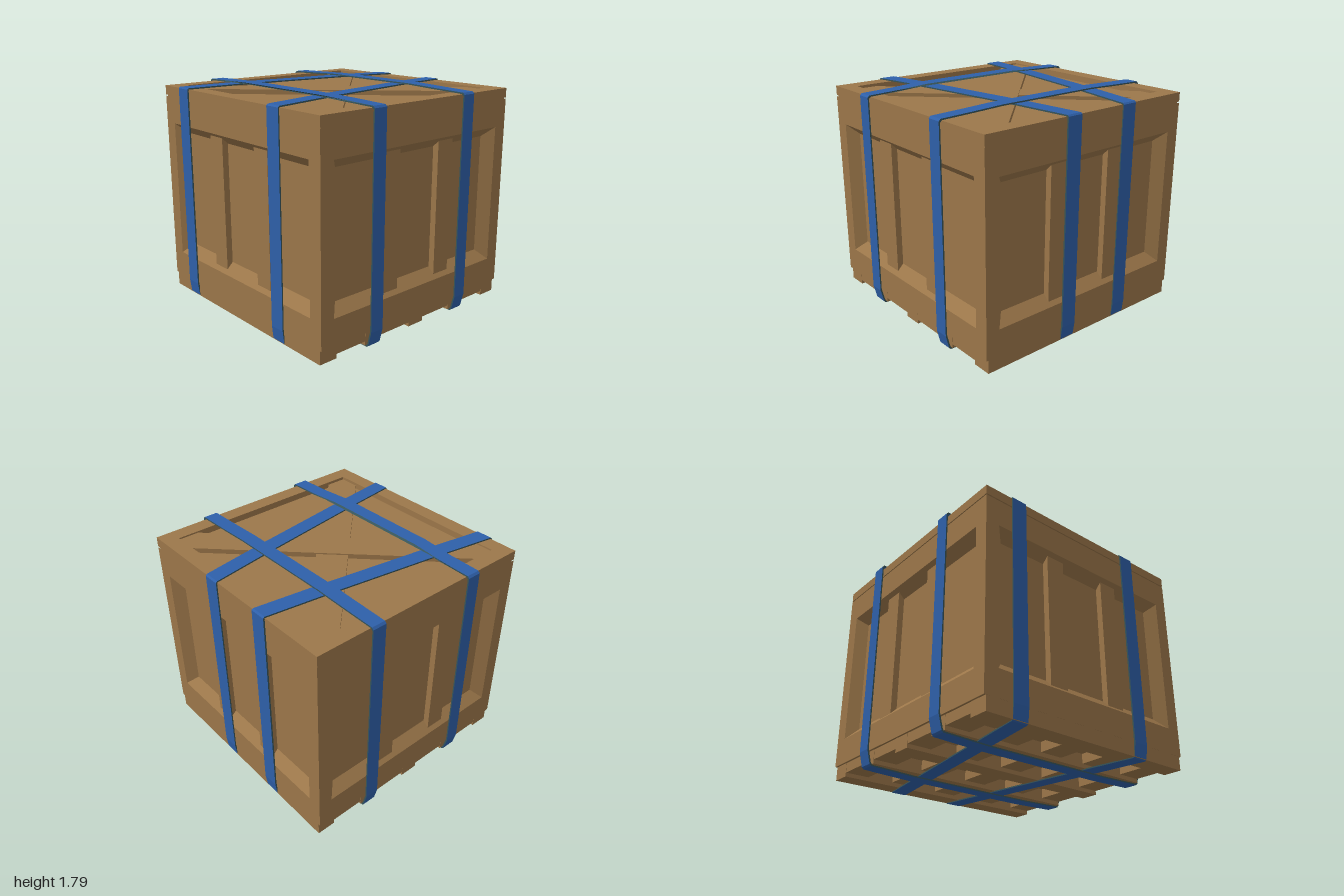
import * as THREE from 'three';

const wood = new THREE.MeshStandardMaterial({ name: 'wood', color: 0x9c774a });
const strapBlue = new THREE.MeshStandardMaterial({ name: 'strapBlue', color: 0x2e60aa });
const darkTeal = new THREE.MeshStandardMaterial({ name: 'darkTeal', color: 0x36545a });

const HALF = 0.97; // half width of the crate

function add(parent, name, geometry, material = wood) {
  const mesh = new THREE.Mesh(geometry, material);
  mesh.name = name;
  parent.add(mesh);
  return mesh;
}

// Box given by its minimum and maximum corners
function box(parent, name, [x0, y0, z0], [x1, y1, z1], material = wood) {
  const geometry = new THREE.BoxGeometry(x1 - x0, y1 - y0, z1 - z0);
  geometry.translate((x0 + x1) / 2, (y0 + y1) / 2, (z0 + z1) / 2);
  return add(parent, name, geometry, material);
}

// Flat wall with a bevelled recess, made from nested rectangles [halfWidth, bottom, top, depth]
function recessedPanel(rings) {
  const positions = [];
  const corners = ([w, b, t, z]) => [[-w, b, z], [w, b, z], [w, t, z], [-w, t, z]];
  const quad = (a, b, c, d) => positions.push(...a, ...b, ...c, ...a, ...c, ...d);
  for (let r = 0; r < rings.length - 1; r++) {
    const outer = corners(rings[r]), inner = corners(rings[r + 1]);
    for (let i = 0; i < 4; i++) {
      const j = (i + 1) % 4;
      quad(outer[i], outer[j], inner[j], inner[i]);
    }
  }
  quad(...corners(rings[rings.length - 1]));
  const geometry = new THREE.BufferGeometry();
  geometry.setAttribute('position', new THREE.Float32BufferAttribute(positions, 3));
  geometry.computeVertexNormals();
  return geometry;
}

// Closed band around the crate: a loop in (u, y), swept across the strap width
function strapLoop(points, width, thickness) {
  const shape = new THREE.Shape(points.map(([u, y]) => new THREE.Vector2(u, y)));
  const inner = points.map(([u, y]) => new THREE.Vector2(
    u * (1 - thickness / 0.99), 0.9 + (y - 0.9) * (1 - thickness / 0.9)));
  shape.holes.push(new THREE.Path(inner));
  const geometry = new THREE.ExtrudeGeometry(shape, { depth: width, bevelEnabled: false });
  return geometry.translate(0, 0, -width / 2);
}

// Mirrors a half outline to a full loop
const mirrored = (half) => [...half, ...half.map(([u, y]) => [-u, y]).reverse()];

function shiftVertices(geometry, rule) {
  const p = geometry.attributes.position;
  const v = new THREE.Vector3();
  for (let i = 0; i < p.count; i++) {
    rule(v.fromBufferAttribute(p, i));
    p.setXYZ(i, v.x, v.y, v.z);
  }
  geometry.computeVertexNormals();
  return geometry;
}

function buildCrate() {
  const crate = new THREE.Group();
  crate.name = 'crate';

  // Four walls, each with a recess and two upright slats
  const wallGeometry = recessedPanel([
    [HALF, 0.14, 1.68, 0], [0.855, 0.35, 1.465, 0], [0.775, 0.43, 1.39, -0.08],
  ]);
  for (let i = 0; i < 4; i++) {
    const side = new THREE.Group();
    side.name = 'side' + (i + 1);
    side.rotation.y = i * Math.PI / 2;
    const wall = new THREE.Group();
    wall.name = 'wall';
    wall.position.z = HALF;
    add(wall, 'wallPanel', wallGeometry);
    for (const x of [-0.285, 0.285]) {
      box(wall, 'slat', [x - 0.08, 0.38, -0.085], [x + 0.08, 1.44, -0.03]);
    }
    side.add(wall);
    crate.add(side);
  }
  box(crate, 'floor', [-0.968, 0.141, -0.968], [0.968, 0.16, 0.968]);
  return crate;
}

function buildLid() {
  const lid = new THREE.Group();
  lid.name = 'lid';
  box(lid, 'lidSeam', [-0.96, 1.665, -0.96], [0.96, 1.7, 0.96]);

  // Raised frame with a square opening
  const rect = (h) => [[-h, -h], [h, -h], [h, h], [-h, h]].map(([x, y]) => new THREE.Vector2(x, y));
  const frame = new THREE.Shape(rect(HALF));
  frame.holes.push(new THREE.Path(rect(0.845)));
  const frameGeometry = new THREE.ExtrudeGeometry(frame, { depth: 0.075, bevelEnabled: false });
  frameGeometry.rotateX(-Math.PI / 2).translate(0, 1.69, 0);
  add(lid, 'lidFrame', frameGeometry);
  box(lid, 'lidPanel', [-0.85, 1.692, -0.85], [0.85, 1.715, 0.85]);

  // Crossed diagonal planks, trimmed to the corners of the frame
  const a = 0.845, b = 0.675;
  const plank = new THREE.Shape([[-a, -a], [-b, -a], [a, b], [a, a], [b, a], [-a, -b]]
    .map(([x, y]) => new THREE.Vector2(x, y)));
  [0.03, 0.04].forEach((height, i) => {
    const geometry = new THREE.ExtrudeGeometry(plank, { depth: height, bevelEnabled: false });
    geometry.rotateX(-Math.PI / 2).rotateY(i * Math.PI / 2).translate(0, 1.713, 0);
    add(lid, 'diagonalPlank', geometry);
  });
  return lid;
}

function buildPallet() {
  const pallet = new THREE.Group();
  pallet.name = 'pallet';
  const beamHalf = 0.1;
  const beams = [-0.85, -0.425, 0, 0.425, 0.85];
  for (const z of beams) {
    box(pallet, 'crossBeam', [-0.965, 0.062, z - beamHalf], [0.965, 0.142, z + beamHalf]);
  }
  for (const x of [-0.89, -0.46, 0, 0.46, 0.89]) {
    box(pallet, 'runner', [x - 0.077, 0.03, -0.952], [x + 0.077, 0.141, 0.952]);
    // Dark plates on the runner sides between the beams
    if (x > 0.8) continue;
    for (let i = 0; i < 4; i++) {
      const z0 = beams[i] + beamHalf, z1 = beams[i + 1] - beamHalf;
      box(pallet, 'runnerPlate', [x + 0.076, 0.075, z0], [x + 0.081, 0.13, z1], darkTeal);
    }
  }
  return pallet;
}

function buildStraps() {
  const straps = new THREE.Group();
  straps.name = 'straps';
  const materials = [darkTeal, strapBlue];

  // Slanted straps running side to side
  const across = mirrored([
    [0.955, 0.022], [0.968, 0.035], [0.982, 0.14], [0.982, 1.765], [0.97, 1.776], [0.5, 1.782],
  ]);
  for (const [z, slope] of [[-0.52, 0.154], [0.34, -0.154]]) {
    const geometry = strapLoop(across, 0.13, 0.011);
    add(straps, 'slantedStrap', shiftVertices(geometry, (v) => { v.z += z + slope * v.x; }), materials);
  }

  // Straps running front to back, over the slanted ones
  const along = mirrored([
    [0.57, 0.004], [0.955, 0.016], [0.97, 0.03], [0.998, 0.14], [1.0, 1.765], [0.985, 1.78], [0.72, 1.788],
    [0.45, 1.798],
  ]);
  for (const [x, bow] of [[-0.465, -0.017], [0.465, 0]]) {
    const geometry = strapLoop(along, 0.115, 0.011).rotateY(-Math.PI / 2);
    shiftVertices(geometry, (v) => {
      v.x += x + (v.y > 1.7 && Math.abs(v.z) < 0.6 ? bow : 0);
    });
    add(straps, 'lengthwiseStrap', geometry, materials);
  }
  return straps;
}

export function createModel() {
  const model = new THREE.Group();
  model.name = 'strappedCrate';
  model.add(buildPallet(), buildCrate(), buildLid(), buildStraps());
  return model;
}
